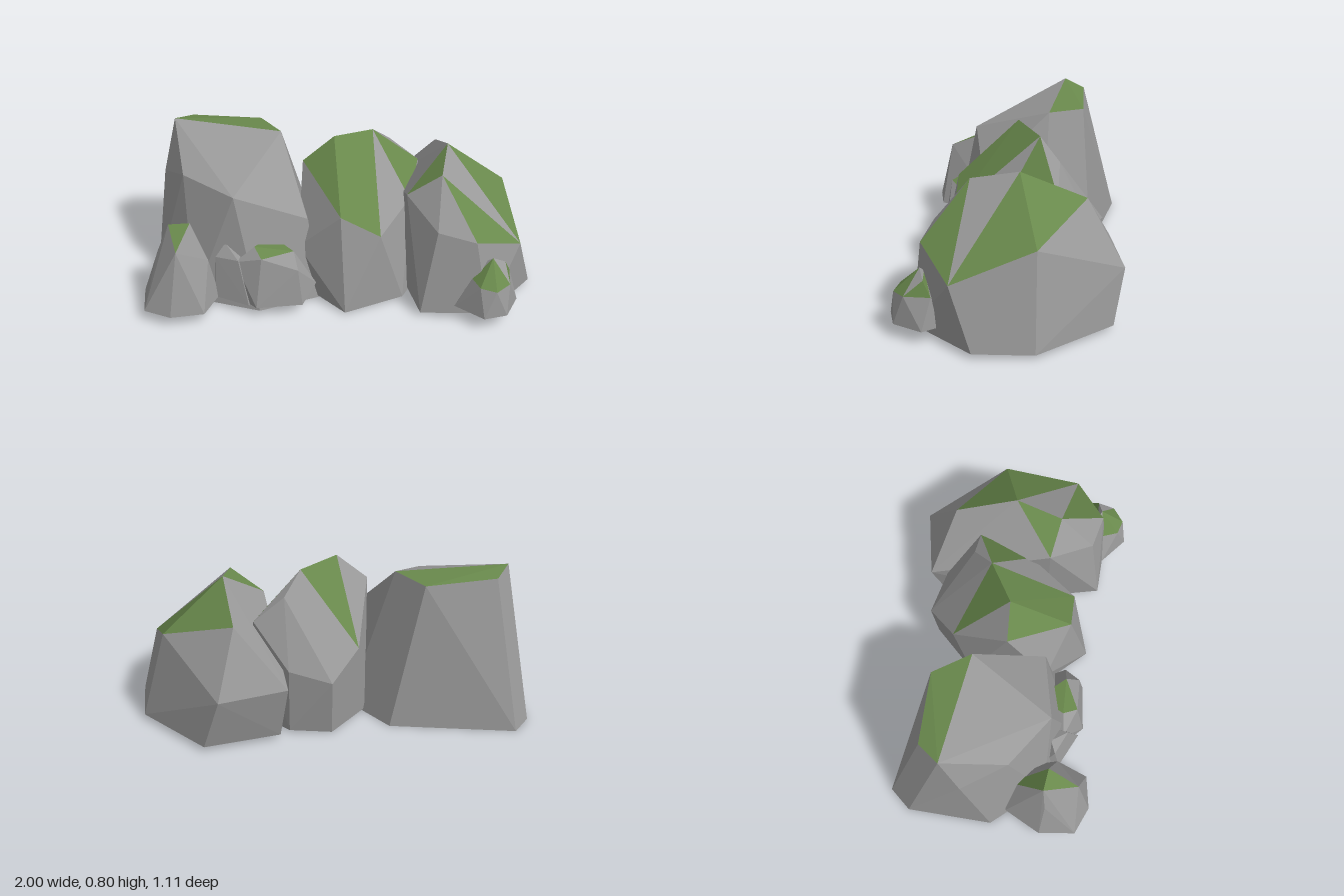
import * as THREE from 'three';
import { ConvexGeometry } from 'three/addons/geometries/ConvexGeometry.js';

const stone = new THREE.MeshStandardMaterial({ color: 0x999999 });
stone.name = 'stone grey';
const moss = new THREE.MeshStandardMaterial({ color: 0x69894c });
moss.name = 'moss green';

// True when the spot [x, z] lies inside triangle abc seen from above
function covers(a, b, c, [x, z]) {
  const side = (p, q) => (q.x - p.x) * (z - p.z) - (q.z - p.z) * (x - p.x);
  const s = [side(a, b), side(b, c), side(c, a)];
  return s.every(v => v >= 0) || s.every(v => v <= 0);
}

// Faceted boulder: corners [x, y, z] plus a flat foot of [x, z] at height footY.
// Upward facets lying under a moss spot [x, z] turn green.
function boulder(name, footY, foot, corners, mossSpots) {
  const points = [
    ...foot.map(([x, z]) => new THREE.Vector3(x, footY, z)),
    ...corners.map(p => new THREE.Vector3(...p)),
  ];
  const geometry = new ConvexGeometry(points);
  const pos = geometry.attributes.position;
  const normal = geometry.attributes.normal;
  for (let i = 0; i < pos.count; i += 3) {
    const [a, b, c] = [0, 1, 2].map(k => new THREE.Vector3().fromBufferAttribute(pos, i + k));
    const mossy = normal.getY(i) > 0.02 && mossSpots.some(s => covers(a, b, c, s));
    geometry.addGroup(i, 3, mossy ? 1 : 0);
  }
  const mesh = new THREE.Mesh(geometry, [stone, moss]);
  mesh.name = name;
  return mesh;
}

export function createModel() {
  const group = new THREE.Group();
  group.name = 'rockCluster';

  // Three large boulders
  group.add(boulder('rightBoulder', 0,
    [[-0.98, -0.39], [-0.98, 0.05], [-0.89, -0.5], [-0.26, -0.38], [-0.08, -0.12],
      [-0.08, 0.26], [-0.4, 0.4], [-0.75, 0.3]],
    [[-0.87, 0.795, -0.2], [-0.79, 0.765, -0.31], [-0.43, 0.745, -0.32], [-0.31, 0.755, -0.14],
      [-0.925, 0.54, -0.1], [-0.79, 0.63, 0.115], [-0.52, 0.597, 0.285], [-0.16, 0.435, 0.205]],
    [[-0.78, -0.27], [-0.6, -0.3], [-0.4, -0.22]]));

  group.add(boulder('middleBoulder', 0.01,
    [[-0.18, 0.2], [0.035, 0.42], [0.33, 0.27], [0.5, -0.1], [0.25, -0.38], [0.04, -0.42],
      [-0.16, -0.2]],
    [[-0.03, 0.8, 0], [0.165, 0.78, -0.125], [0.255, 0.68, -0.23], [0.41, 0.555, -0.23],
      [0.36, 0.47, 0.05], [0.21, 0.395, 0.305], [0.01, 0.505, 0.31], [-0.19, 0.665, 0.01],
      [-0.21, 0.28, 0.22], [-0.11, 0.41, -0.29], [0.04, 0.3, -0.445], [0.25, 0.35, -0.39]],
    [[0, -0.12], [0.12, 0], [0.04, 0.2], [0.14, 0.2], [-0.07, 0.08], [0.28, -0.1], [0.3, -0.18]]));

  group.add(boulder('leftBoulder', 0.025,
    [[0.34, 0.15], [0.415, 0.43], [0.755, 0.43], [1, 0.12], [0.985, -0.17], [0.68, -0.515],
      [0.3, -0.44]],
    [[0.55, 0.735, -0.06], [0.51, 0.6, -0.375], [0.86, 0.48, -0.165], [0.92, 0.32, 0.23],
      [0.51, 0.68, 0.18], [0.68, 0.42, 0.395], [0.49, 0.455, 0.36], [0.34, 0.55, 0.15],
      [0.6, 0.29, -0.56], [0.26, 0.3, -0.485]],
    [[0.64, -0.2], [0.78, 0], [0.7, 0.27], [0.46, 0.08]]));

  // Small stones along the front
  group.add(boulder('rightSmallStone', 0.06,
    [[-1, 0.31], [-0.91, 0.12], [-0.97, 0.495], [-0.83, 0.55], [-0.665, 0.515], [-0.61, 0.35],
      [-0.68, 0.12]],
    [[-0.85, 0.45, 0.3], [-0.74, 0.465, 0.31], [-0.79, 0.39, 0.47], [-0.91, 0.31, 0.32],
      [-0.655, 0.275, 0.35], [-0.8, 0.25, 0.12]],
    [[-0.8, 0.24], [-0.79, 0.36]]));

  group.add(boulder('middleSmallStoneA', 0.06,
    [[-0.65, 0.25], [-0.63, 0.36], [-0.45, 0.44], [-0.4, 0.2]],
    [[-0.57, 0.345, 0.3], [-0.62, 0.28, 0.33], [-0.5, 0.29, 0.38], [-0.48, 0.28, 0.25]],
    []));
  group.add(boulder('middleSmallStoneB', 0.06,
    [[-0.58, 0.3], [-0.41, 0.46], [-0.18, 0.425], [-0.16, 0.2]],
    [[-0.42, 0.35, 0.34], [-0.52, 0.27, 0.36], [-0.225, 0.32, 0.33], [-0.38, 0.32, 0.41],
      [-0.2, 0.25, 0.4], [-0.115, 0.125, 0.32], [-0.35, 0.33, 0.2]],
    [[-0.35, 0.355], [-0.34, 0.3]]));

  group.add(boulder('leftSmallStone', 0.07,
    [[0.585, 0.43], [0.725, 0.54], [0.84, 0.505], [0.905, 0.36], [0.85, 0.285], [0.62, 0.3]],
    [[0.665, 0.225, 0.41], [0.7, 0.22, 0.49], [0.78, 0.21, 0.51], [0.85, 0.22, 0.45],
      [0.86, 0.225, 0.32], [0.765, 0.33, 0.385], [0.83, 0.295, 0.36], [0.73, 0.3, 0.37]],
    [[0.7, 0.42], [0.75, 0.45], [0.8, 0.43], [0.845, 0.38], [0.78, 0.365]]));

  return group;
}
